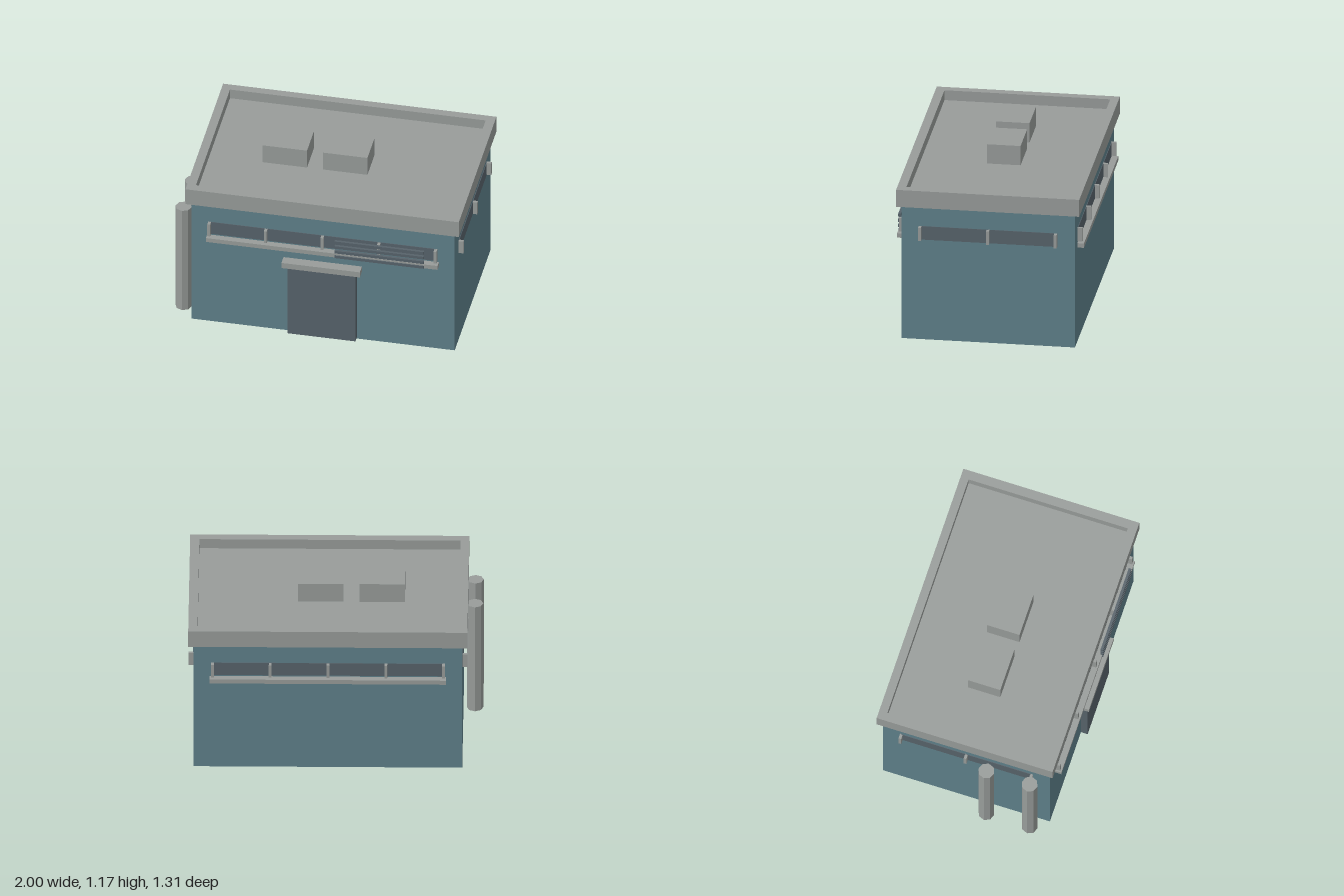
import * as THREE from 'three';

export function createModel() {
  const model = new THREE.Group();
  model.name = 'utilityBuilding';

  const mat = (name, color, flatShading = false) => {
    const m = new THREE.MeshStandardMaterial({ color, flatShading });
    m.name = name;
    return m;
  };
  const wallBlue = mat('wallBlue', 0x5f808a);
  const concrete = mat('concreteGrey', 0x989c9a, true);
  const slate = mat('darkSlate', 0x57636b);

  // Box given by its extents on each axis
  const box = (name, material, [x0, x1], [y0, y1], [z0, z1], parent = model) => {
    const mesh = new THREE.Mesh(new THREE.BoxGeometry(x1 - x0, y1 - y0, z1 - z0), material);
    mesh.position.set((x0 + x1) / 2, (y0 + y1) / 2, (z0 + z1) / 2);
    mesh.name = name;
    parent.add(mesh);
    return mesh;
  };

  const X0 = -0.865, X1 = 0.965, Z0 = -0.608, Z1 = 0.586;
  box('walls', wallBlue, [X0, X1], [0, 0.98], [Z0, Z1]);

  // Roof deck with a raised parapet around it
  box('roofDeck', concrete, [-0.87, 0.97], [0.976, 1.027], [-0.615, 0.585]);
  const rect = (P, x0, x1, z0, z1) => {
    const p = new P();
    p.moveTo(x0, -z1);
    p.lineTo(x1, -z1);
    p.lineTo(x1, -z0);
    p.lineTo(x0, -z0);
    p.closePath();
    return p;
  };
  const rim = rect(THREE.Shape, -0.9, 1, -0.643, 0.617);
  rim.holes.push(rect(THREE.Path, -0.84, 0.937, -0.585, 0.555));
  const rimGeo = new THREE.ExtrudeGeometry(rim, { depth: 0.124, bevelEnabled: false });
  rimGeo.rotateX(-Math.PI / 2);
  const parapet = new THREE.Mesh(rimGeo, concrete);
  parapet.position.y = 0.975;
  parapet.name = 'parapet';
  model.add(parapet);

  // Rooftop units
  for (const x of [-0.47, -0.05])
    box('roofUnit', concrete, [x, x + 0.308], [1.02, 1.168], [-0.13, 0.102]);

  // Window bands: dark glass strip with evenly spaced posts
  const WY = [0.732, 0.83];
  const out = (base, dir, d) => (dir > 0 ? [base, base + d] : [base - d, base]);
  const windowBand = (name, alongX, base, dir, first, last, count) => {
    const group = new THREE.Group();
    group.name = name;
    model.add(group);
    const place = (part, material, span, depth) => {
      const o = out(base, dir, depth);
      box(part, material, alongX ? span : o, WY, alongX ? o : span, group);
    };
    place('glass', slate, [first, last], 0.004);
    for (let i = 0; i < count; i++) {
      const c = first + ((last - first) * i) / (count - 1);
      place('windowPost', concrete, [c - 0.01, c + 0.01], 0.035);
    }
    return group;
  };
  const front = windowBand('frontWindows', true, Z1, 1, -0.738, 0.835, 5);
  const back = windowBand('backWindows', true, Z0, -1, -0.738, 0.835, 5);
  windowBand('leftWindows', false, X1, 1, -0.477, 0.456, 3);
  windowBand('rightWindows', false, X0, -1, -0.477, 0.456, 3);

  // Sills on the long sides
  box('windowSill', concrete, [-0.755, 0.855], [0.69, 0.722], out(Z1, 1, 0.046), front);
  box('windowSill', concrete, [-0.755, 0.855], [0.69, 0.722], out(Z0, -1, 0.046), back);

  // Louvre slats in front of the windows
  for (let i = 0; i < 4; i++) {
    const y = 0.689 + i * 0.0393;
    box('louvreSlat', slate, [0.14, 0.76], [y, y + 0.021], [0.62, 0.638]);
  }

  // Door with its canopy
  box('door', slate, [-0.188, 0.285], [0.01, 0.566], [Z1, 0.635]);
  box('doorCanopy', concrete, [-0.225, 0.32], [0.565, 0.608], [Z1, 0.656]);

  // Upright octagonal pipes beside the right wall
  for (const z of [0.157, 0.467]) {
    const pipe = new THREE.Mesh(new THREE.CylinderGeometry(0.056, 0.056, 0.83, 8), concrete);
    pipe.position.set(-0.944, 0.43, z);
    pipe.name = 'pipe';
    model.add(pipe);
  }

  return model;
}
